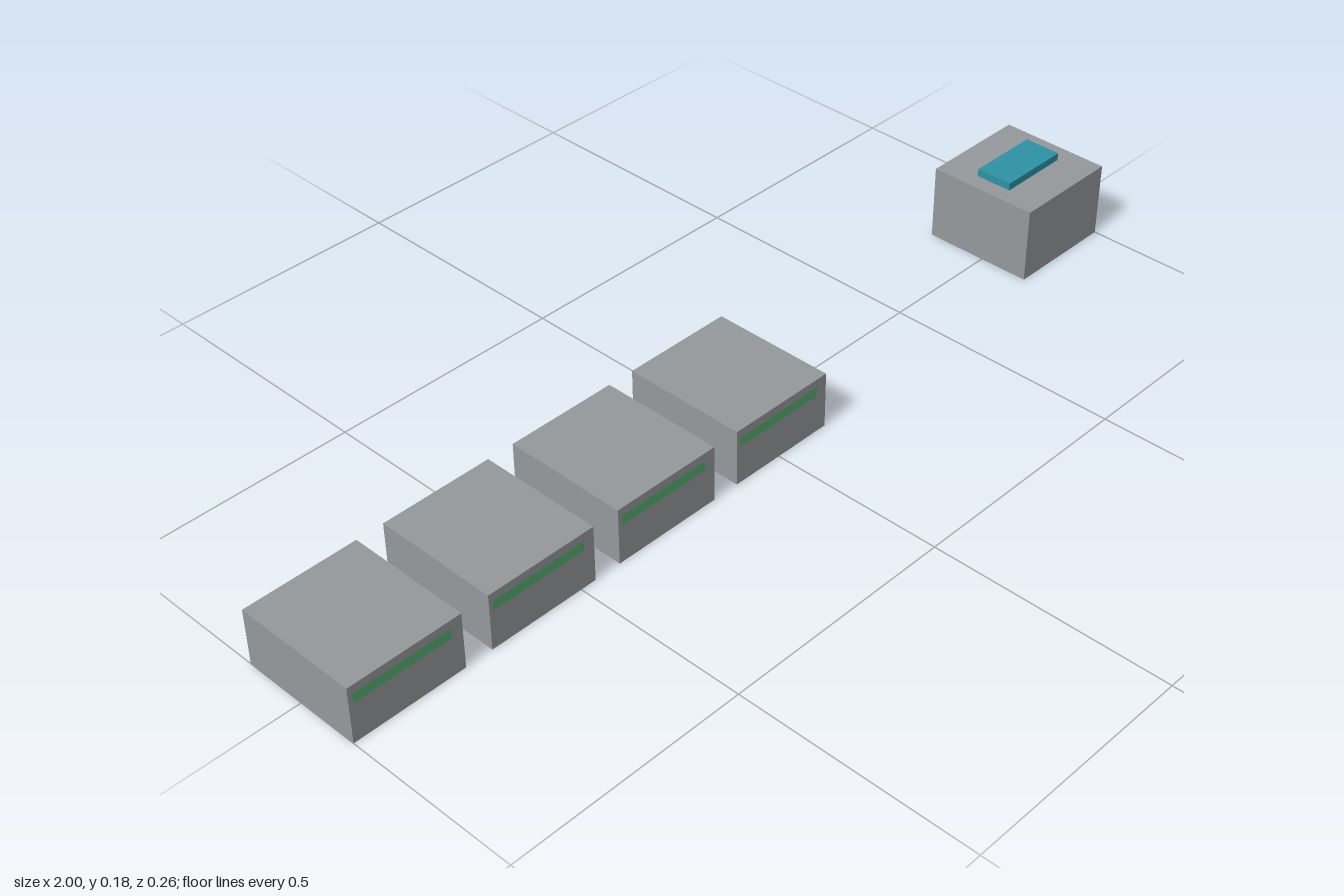
import * as THREE from 'three';

const makeMat = (name, color, side = THREE.FrontSide) => {
  const m = new THREE.MeshStandardMaterial({ color, side });
  m.name = name;
  return m;
};

// Box standing on y = 0 with its bottom face left out
function openBox(w, h, d) {
  const g = new THREE.BoxGeometry(w, h, d).translate(0, h / 2, 0);
  const index = Array.from(g.index.array);
  index.splice(18, 6); // the -y face
  g.setIndex(index);
  g.clearGroups();
  return g;
}

export function createModel() {
  const grey = makeMat('grey', 0x95999c, THREE.DoubleSide);
  const green = makeMat('green', 0x55b06e);
  const teal = makeMat('teal', 0x2e92a6);
  const model = new THREE.Group();
  model.name = 'unitRow';

  const add = (parent, name, geometry, material, x, y, z) => {
    const mesh = new THREE.Mesh(geometry, material);
    mesh.name = name;
    mesh.position.set(x, y, z);
    parent.add(mesh);
  };

  // Four low units, each with a green strip set left of centre on its front
  const W = 0.238, D = 0.264, step = 0.296;
  for (let i = 0; i < 4; i++) {
    const unit = new THREE.Group();
    unit.name = `lowUnit${i + 1}`;
    unit.position.x = -1 + W / 2 + i * step;
    add(unit, 'casing', openBox(W, 0.12, D), grey, 0, 0, 0);
    add(unit, 'frontStrip', new THREE.PlaneGeometry(0.205, 0.02), green, -0.008, 0.093, D / 2 + 0.001);
    model.add(unit);
  }

  // Taller unit at the far end with a teal pad on top
  const tall = new THREE.Group();
  tall.name = 'tallUnit';
  tall.position.x = 1 - 0.12;
  add(tall, 'casing', openBox(0.24, 0.16, 0.24), grey, 0, 0, -0.012);
  add(tall, 'topPad', new THREE.BoxGeometry(0.16, 0.016, 0.08), teal, -0.004, 0.169, -0.012);
  model.add(tall);

  return model;
}
